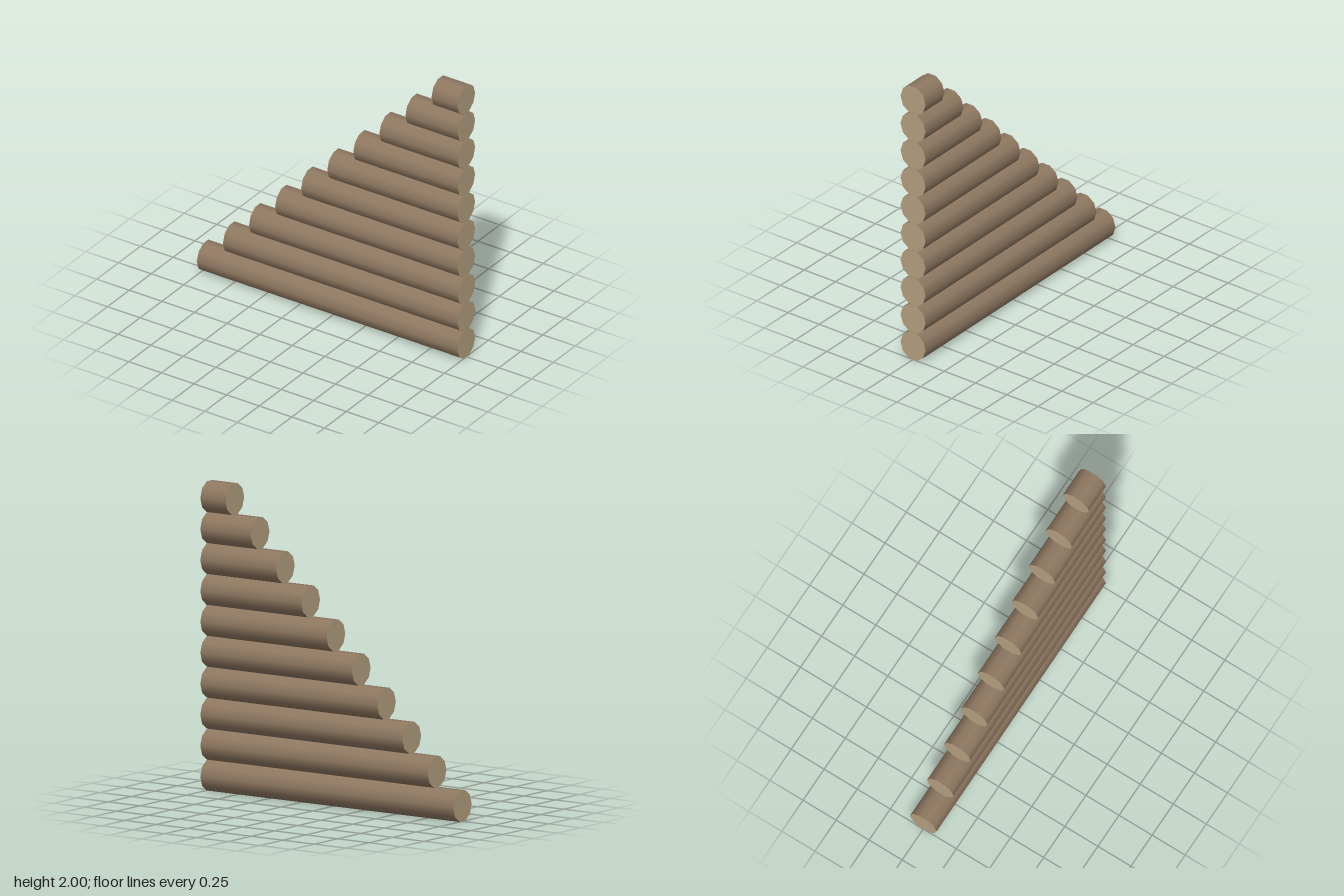
import * as THREE from 'three';

export function createModel() {
  const model = new THREE.Group();
  model.name = 'steppedLogWall';

  const bark = new THREE.MeshStandardMaterial({ color: 0x8f7861 });
  const cutWood = new THREE.MeshStandardMaterial({ color: 0xb5a080 });

  const count = 10;
  const step = 0.2;

  // Stacked ten-sided logs, flush at the left end, each one step shorter than the log below
  for (let i = 0; i < count; i++) {
    const length = (count - i) * step;
    const geometry = new THREE.CylinderGeometry(0.1, 0.1, length, 10);
    geometry.rotateZ(Math.PI / 2);
    geometry.scale(1, 1.04, 1);

    // Side takes the bark, both ends show cut wood
    const log = new THREE.Mesh(geometry, [bark, cutWood, cutWood]);
    log.name = `log${i + 1}`;
    log.position.set(1 - length / 2, (i + 0.5) * step, 0);
    model.add(log);
  }

  return model;
}
